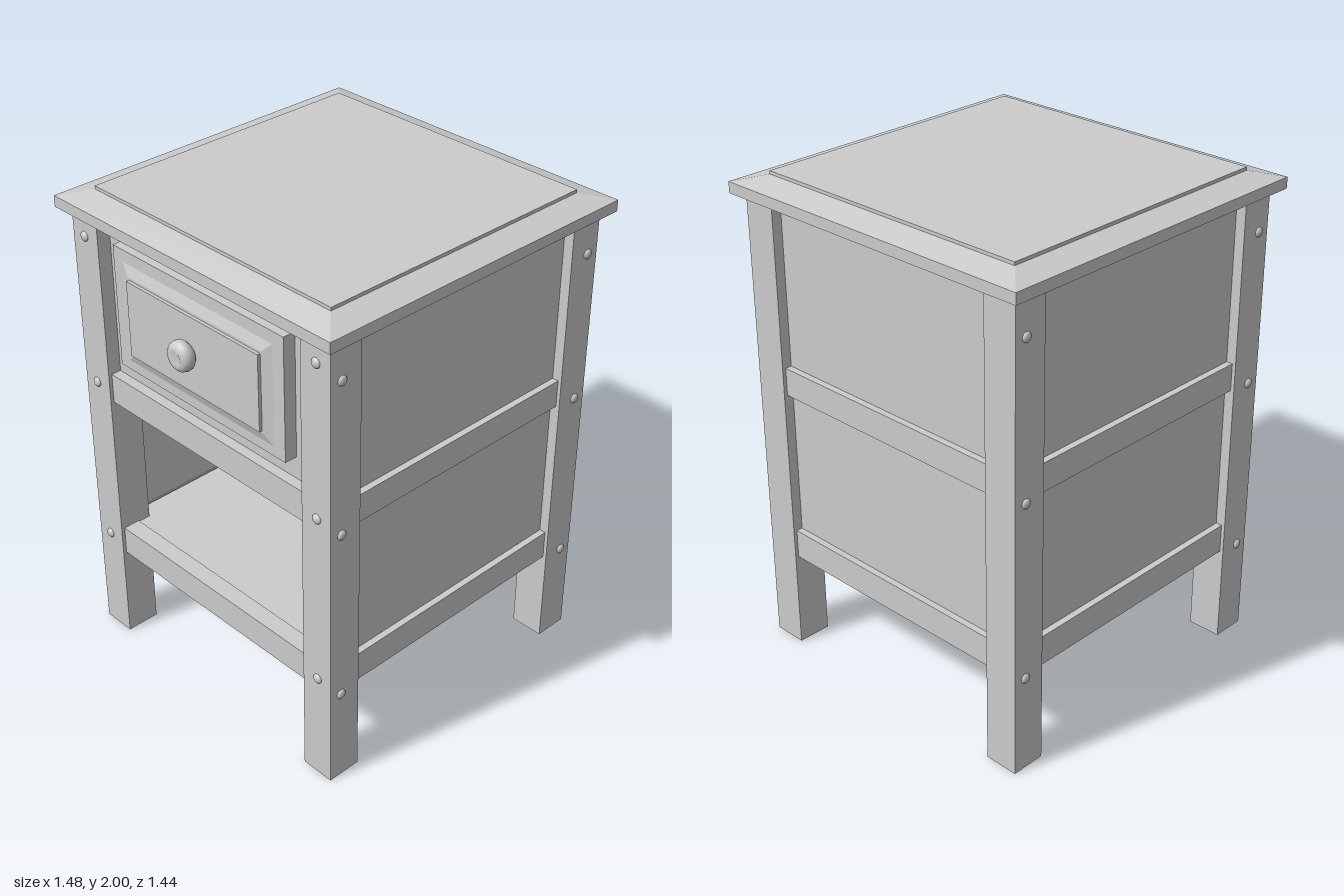
import * as THREE from 'three';

const mat = new THREE.MeshStandardMaterial({ color: 0xcccccc, flatShading: true });
const smooth = new THREE.MeshStandardMaterial({ color: 0xcccccc });
const openMat = new THREE.MeshStandardMaterial({ color: 0xcccccc, flatShading: true, side: THREE.DoubleSide });

export function createModel() {
  const model = new THREE.Group();
  model.name = 'nightstand';
  const body = new THREE.Group();
  body.name = 'body';
  body.position.x = 0.019;
  model.add(body);

  const add = (parent, name, geo, x, y, z, material = mat) => {
    const m = new THREE.Mesh(geo, material);
    m.name = name;
    m.position.set(x, y, z);
    parent.add(m);
    return m;
  };
  // box given by its limits
  const block = (parent, name, x0, x1, y0, y1, z0, z1) =>
    add(parent, name, new THREE.BoxGeometry(x1 - x0, y1 - y0, z1 - z0),
      (x0 + x1) / 2, (y0 + y1) / 2, (z0 + z1) / 2);
  // box whose upper face is inset on all sides
  const frustum = (w, h, d, inset) => {
    const g = new THREE.BoxGeometry(w, h, d);
    const p = g.attributes.position;
    for (let i = 0; i < p.count; i++) {
      if (p.getY(i) < 0) continue;
      p.setX(i, p.getX(i) - Math.sign(p.getX(i)) * inset);
      p.setZ(i, p.getZ(i) - Math.sign(p.getZ(i)) * inset);
    }
    g.computeVertexNormals();
    return g;
  };

  const R = 0.677, INNER = 0.535, TOP = 1.915;

  // Table top: slab, sloped border, raised field
  block(body, 'topSlab', -0.72, 0.72, TOP, 1.96, -0.72, 0.72);
  add(body, 'topBevel', frustum(1.44, 0.027, 1.44, 0.107), 0, 1.9735, 0);
  block(body, 'topField', -0.613, 0.613, 1.98, 2.0, -0.613, 0.613);

  // Four hollow posts, open at the foot
  const post = new THREE.BoxGeometry(R - INNER, TOP, R - INNER);
  const idx = Array.from(post.index.array);
  idx.splice(18, 6);
  post.setIndex(idx);
  for (const sx of [-1, 1]) for (const sz of [-1, 1])
    add(body, 'post', post, sx * (R + INNER) / 2, TOP / 2, sz * (R + INNER) / 2, openMat);

  // Three closed sides: panel with middle and bottom rail, built facing +z and turned
  [['frontSide', 0], ['leftSide', Math.PI / 2], ['backSide', Math.PI]].forEach(([name, turn]) => {
    const side = new THREE.Group();
    side.name = name;
    side.rotation.y = turn;
    body.add(side);
    block(side, 'panel', -INNER, INNER, 0.5, TOP, 0.605, 0.635);
    block(side, 'middleRail', -INNER, INNER, 1.13, 1.245, 0.6, 0.662);
    block(side, 'bottomRail', -INNER, INNER, 0.403, 0.525, 0.6, 0.662);
  });

  // Shelf and drawer compartment floor
  block(body, 'shelf', -0.605, 0.605, 0.485, 0.52, -0.605, 0.605);
  block(body, 'compartmentFloor', -0.605, 0.605, 1.15, 1.18, -0.605, 0.605);

  // Drawer side, built facing +z and turned to -x
  const face = new THREE.Group();
  face.name = 'drawerSide';
  face.rotation.y = -Math.PI / 2;
  body.add(face);
  block(face, 'backing', -INNER, INNER, 1.2, TOP, 0.59, 0.62);
  block(face, 'drawerRail', -INNER, INNER, 1.13, 1.255, 0.59, 0.662);
  block(face, 'shelfRail', -INNER, INNER, 0.403, 0.525, 0.59, 0.662);
  block(face, 'drawerBoard', -0.45, 0.45, 1.345, 1.845, 0.61, 0.672);
  const bevel = add(face, 'drawerBevel', frustum(0.79, 0.014, 0.41, 0.04), 0, 1.59, 0.679);
  bevel.rotation.x = Math.PI / 2;
  block(face, 'drawerField', -0.35, 0.35, 1.435, 1.745, 0.67, 0.699);

  // Knob
  const profile = [[0, 0], [0.04, 0], [0.058, 0.018], [0.06, 0.035], [0.056, 0.05],
    [0.045, 0.06], [0.03, 0.064], [0.022, 0.06], [0, 0.06]].map(([r, y]) => new THREE.Vector2(r, y));
  const knob = add(face, 'knob', new THREE.LatheGeometry(profile, 32), -0.015, 1.595, 0.698, smooth);
  knob.rotation.x = Math.PI / 2;

  // Domed pegs on the posts
  const peg = new THREE.SphereGeometry(0.02, 16, 8, 0, Math.PI * 2, 0, Math.PI / 2);
  peg.scale(1, 0.6, 1);
  const C = 0.624;
  for (const s of [-1, 1]) {
    for (const y of [1.76, 1.135, 0.405]) for (const sz of [-1, 1])
      add(body, 'peg', peg, s * C, y, sz * R, smooth).rotation.x = sz * Math.PI / 2;
    for (const y of [1.82, 1.195, 0.47])
      add(body, 'peg', peg, -R, y, s * 0.61, smooth).rotation.z = Math.PI / 2;
  }
  return model;
}
